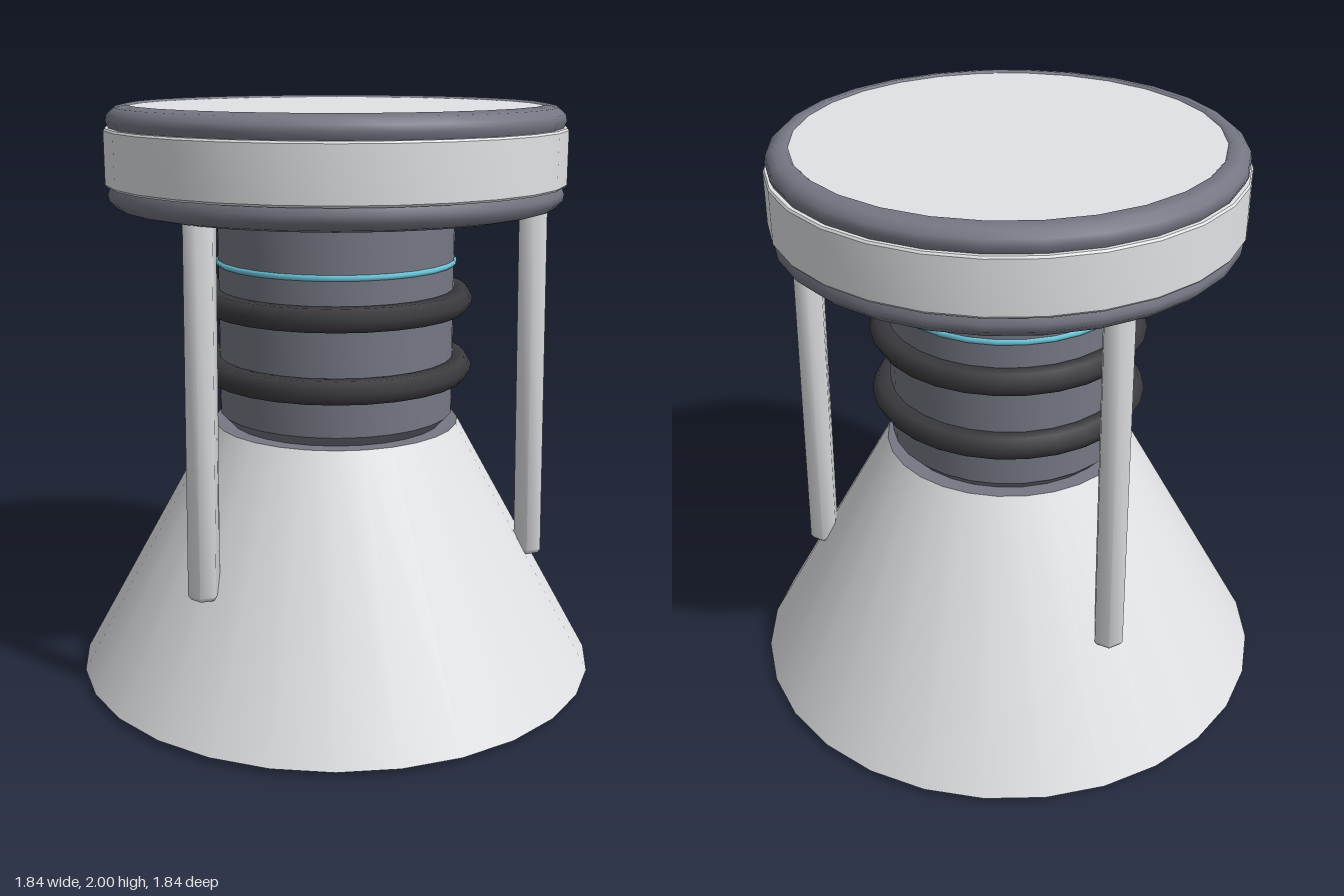
import * as THREE from 'three';
import { toCreasedNormals } from 'three/addons/utils/BufferGeometryUtils.js';

const SIDES = 28;

export function createModel() {
  const model = new THREE.Group();
  model.name = 'thruster';

  const material = (name, color) => {
    const m = new THREE.MeshStandardMaterial({ color });
    m.name = name;
    return m;
  };
  const lightGrey = material('light grey', 0xe0e2e5);
  const slate = material('slate', 0x757884);
  const rubber = material('black rubber', 0x3b3b40);
  const cyan = material('cyan glow', 0x6fc9de);

  const add = (name, geometry, mat, parent = model) => {
    const mesh = new THREE.Mesh(geometry, mat);
    mesh.name = name;
    parent.add(mesh);
    return mesh;
  };
  // Turned part from [radius, height] pairs; corners sharper than the crease stay hard
  const turned = (name, profile, mat, crease = 0.45) => {
    const points = profile.map(([r, y]) => new THREE.Vector2(r, y));
    return add(name, toCreasedNormals(new THREE.LatheGeometry(points, SIDES), crease), mat);
  };
  // Smooth horizontal hoop
  const hoop = (name, radius, tube, y, mat) => {
    const geometry = new THREE.TorusGeometry(radius, tube, 6, SIDES).rotateX(Math.PI / 2);
    add(name, geometry, mat).position.y = y;
  };

  // Nozzle: outer cone, bevelled rim and glowing inside
  turned('nozzleShell', [[0.918, 0.02], [0.43, 0.905]], lightGrey);
  turned('nozzleRim', [[0.845, 0], [0.885, 0], [0.918, 0.02]], slate);
  turned('nozzleInside', [[0, 0.86], [0.37, 0.86], [0.845, 0]], cyan);

  // Neck with a collar closing the cone and a bevelled foot
  turned('neckCollar', [[0.43, 0.905], [0.36, 0.905]], slate);
  turned('neck', [[0.37, 0.9], [0.41, 0.942], [0.41, 1.67]], slate);
  hoop('neckGlowBand', 0.407, 0.011, 1.47, cyan);

  // Seals around the neck
  for (const y of [1.103, 1.34]) hoop('neckSeal', 0.43, 0.045, y, rubber);

  // Mounting disc: drum with flat faces and a rounded ring at each edge
  turned('discBody', [
    [0, 1.66], [0.71, 1.66], [0.71, 1.735], [0.775, 1.735], [0.78, 1.742],
    [0.78, 1.918], [0.775, 1.925], [0.71, 1.925], [0.71, 1.992], [0, 1.992],
  ], lightGrey);
  const ring = [
    [0.762, 0], [0.772, 0.022], [0.768, 0.045], [0.744, 0.066], [0.705, 0.075], [0.695, 0.066],
  ];
  turned('discTopRing', ring.map(([r, h]) => [r, 1.925 + h]), slate, 1);
  turned('discBottomRing', ring.map(([r, h]) => [r, 1.735 - h * 1.06]).reverse(), slate, 1);

  // Thin glowing strip across the underside
  add('undersideStrip', new THREE.BoxGeometry(0.018, 0.009, 0.97), cyan).position.set(0.405, 1.656, 0);

  // Three smooth six-sided struts, leaning slightly outward toward the foot
  for (let i = 0; i < 3; i++) {
    const pivot = new THREE.Group();
    pivot.name = 'strut';
    pivot.rotation.y = (i * Math.PI * 2) / 3;
    const profile = [[0, 0], [0.044, 0], [0.054, 0.015], [0.054, 1.24]];
    const geometry = toCreasedNormals(
      new THREE.LatheGeometry(profile.map(([r, y]) => new THREE.Vector2(r, y)), 6, Math.PI / 2), 1.1);
    const bar = add('strutBar', geometry, lightGrey, pivot);
    bar.position.set(0, 0.438, 0.69);
    bar.rotation.x = -0.016;
    model.add(pivot);
  }

  return model;
}
